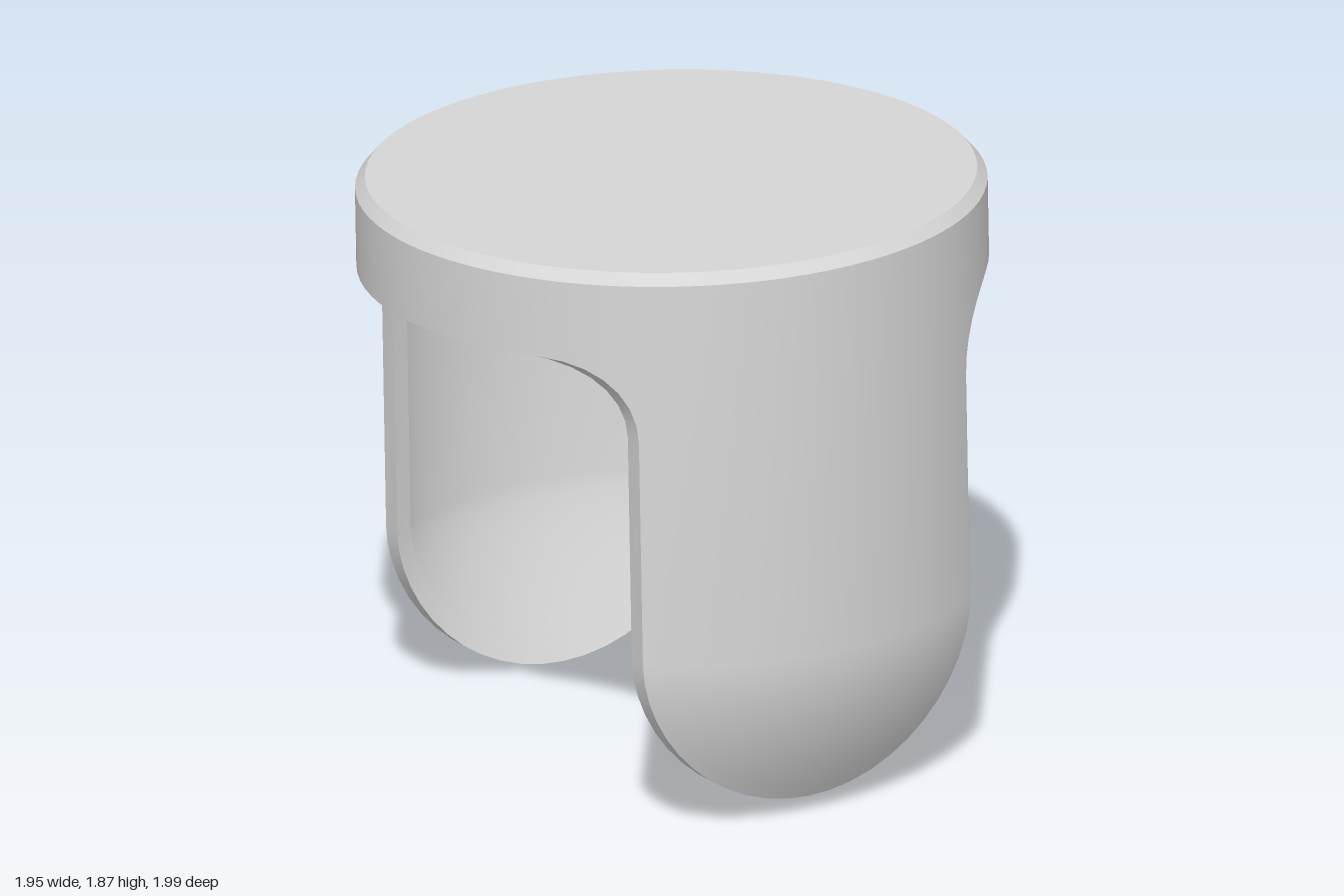
import * as THREE from 'three';
import { toCreasedNormals } from 'three/addons/utils/BufferGeometryUtils.js';

const R_OUT = 0.975, R_LIP = 0.922, R_IN = 0.905;  // wall radii, outside to inside
const TOP = 1.828, BEVEL = 0.035, CEILING = 1.765; // lid faces
const LEG_HALF = 0.585, DOME_Y = 0.55, TIP_Y = 0.018, RING_Y = 1.54;
const FILLET_X = 0.805, FILLET_Y = 1.28;
const DOME_ROWS = 8;

// Lower edge of the wall for a quarter turn: rounded leg tip, leg side, fillet, ring.
// Inset moves the edge into the wall, away from the opening.
function quarterEdge(r, inset, ringY) {
  const edge = [];
  const add = (x, y) => edge.push([Math.asin(x / r), y]);
  const half = LEG_HALF - inset, drop = DOME_Y - TIP_Y - inset;
  for (let i = 0; i <= 12; i++) {
    const a = (i / 12) * Math.PI / 2;
    add(half * Math.sin(a), DOME_Y - drop * Math.cos(a) ** 1.1);
  }
  for (let i = 0; i <= 7; i++) {
    const a = (i / 7) * Math.PI / 2;
    add(FILLET_X - (FILLET_X - half) * Math.cos(a), FILLET_Y + (ringY - FILLET_Y) * Math.sin(a));
  }
  const start = edge[edge.length - 1][0];
  for (let i = 1; i <= 8; i++) edge.push([start + (Math.PI / 2 - start) * i / 8, ringY]);
  return edge;
}

// Mirror the quarter to a closed loop of [angle, lower edge] columns
function fullEdge(r, inset, ringY) {
  const q = quarterEdge(r, inset, ringY);
  const half = [...q, ...q.slice(0, -1).reverse().map(([t, y]) => [Math.PI - t, y])];
  return [...half, ...half.slice(1).map(([t, y]) => [t + Math.PI, y])];
}

const ringPoint = (r, theta, y) => [r * Math.sin(theta), y, r * Math.cos(theta)];

// Columns of points running down one side of the wall; curve shapes the leg ends
function wallColumns(r, inset, ringY, yTop, curve) {
  const half = LEG_HALF - inset;
  const edgeZ = Math.sqrt(r * r - half * half);
  return fullEdge(r, inset, ringY).map(([theta, yLow]) => {
    const pts = [ringPoint(r, theta, yTop)];
    for (let k = 0; k <= DOME_ROWS; k++) {
      const v = yLow < DOME_Y - 1e-6 ? k / DOME_ROWS : 0;
      const p = ringPoint(r, theta, v > 0 ? DOME_Y - (DOME_Y - yLow) * v : Math.max(DOME_Y, yLow));
      if (v > 0) {
        // leg ends close inwards to a flat edge plane
        const flat = Math.sign(p[2]) * edgeZ;
        p[2] = flat + (p[2] - flat) * (1 - v ** curve);
      }
      pts.push(p);
    }
    return pts;
  });
}

// Join neighbouring columns into a surface, skipping collapsed triangles
function skin(columns) {
  const pos = [];
  const tri = new THREE.Triangle();
  const put = (...c) => {
    c.forEach((p, i) => [tri.a, tri.b, tri.c][i].set(...p));
    if (tri.getArea() > 1e-8) pos.push(...c.flat());
  };
  for (let i = 0; i < columns.length - 1; i++) {
    const A = columns[i], B = columns[i + 1];
    for (let j = 0; j < A.length - 1; j++) {
      put(A[j], A[j + 1], B[j + 1]);
      put(A[j], B[j + 1], B[j]);
    }
  }
  const geo = new THREE.BufferGeometry();
  geo.setAttribute('position', new THREE.Float32BufferAttribute(pos, 3));
  return toCreasedNormals(geo, 0.5);
}

export function createModel() {
  const model = new THREE.Group();
  const cap = new THREE.Group();
  cap.name = 'cap';
  const grey = new THREE.MeshStandardMaterial({ color: 0xd6d6d6 });
  grey.name = 'light grey';

  const addPart = (name, columns) => {
    const mesh = new THREE.Mesh(skin(columns), grey);
    mesh.name = name;
    cap.add(mesh);
  };
  const outer = wallColumns(R_OUT, 0, RING_Y, TOP - BEVEL, 1.8);
  const lip = fullEdge(R_LIP, 0, RING_Y - 0.018).map(([t, y]) => {
    // the lip stays in the edge plane along the leg tips
    const [x, , z] = ringPoint(R_LIP, t, y);
    const edgeZ = Math.sqrt(R_LIP ** 2 - LEG_HALF ** 2);
    return [x, y, THREE.MathUtils.clamp(z, -edgeZ, edgeZ)];
  });
  const inner = wallColumns(R_IN, 0.065, RING_Y + 0.02, CEILING, 1.25);

  // Lid with its bevel
  addPart('lid', outer.map(([[x, y, z]]) => [
    [0, TOP, 0], [x * 0.968, TOP, z * 0.968], [x, y, z],
  ]));
  // Ring and both legs, outside
  addPart('outerWall', outer);
  // Thickness along the lower edge, then the bevelled lip facing inwards
  addPart('lowerEdge', outer.map((c, i) => [c.at(-1), lip[i]]));
  addPart('innerLip', inner.map((c, i) => [lip[i], c.at(-1)]));
  // Hollow inside
  addPart('innerWall', inner.map((c) => [...c].reverse()));
  addPart('ceiling', inner.map((c) => [c[0], [0, CEILING, 0]]));

  // The whole cap leans back slightly
  cap.rotation.x = -0.033;
  cap.position.set(0, 0.008, 0.037);
  model.add(cap);
  return model;
}
